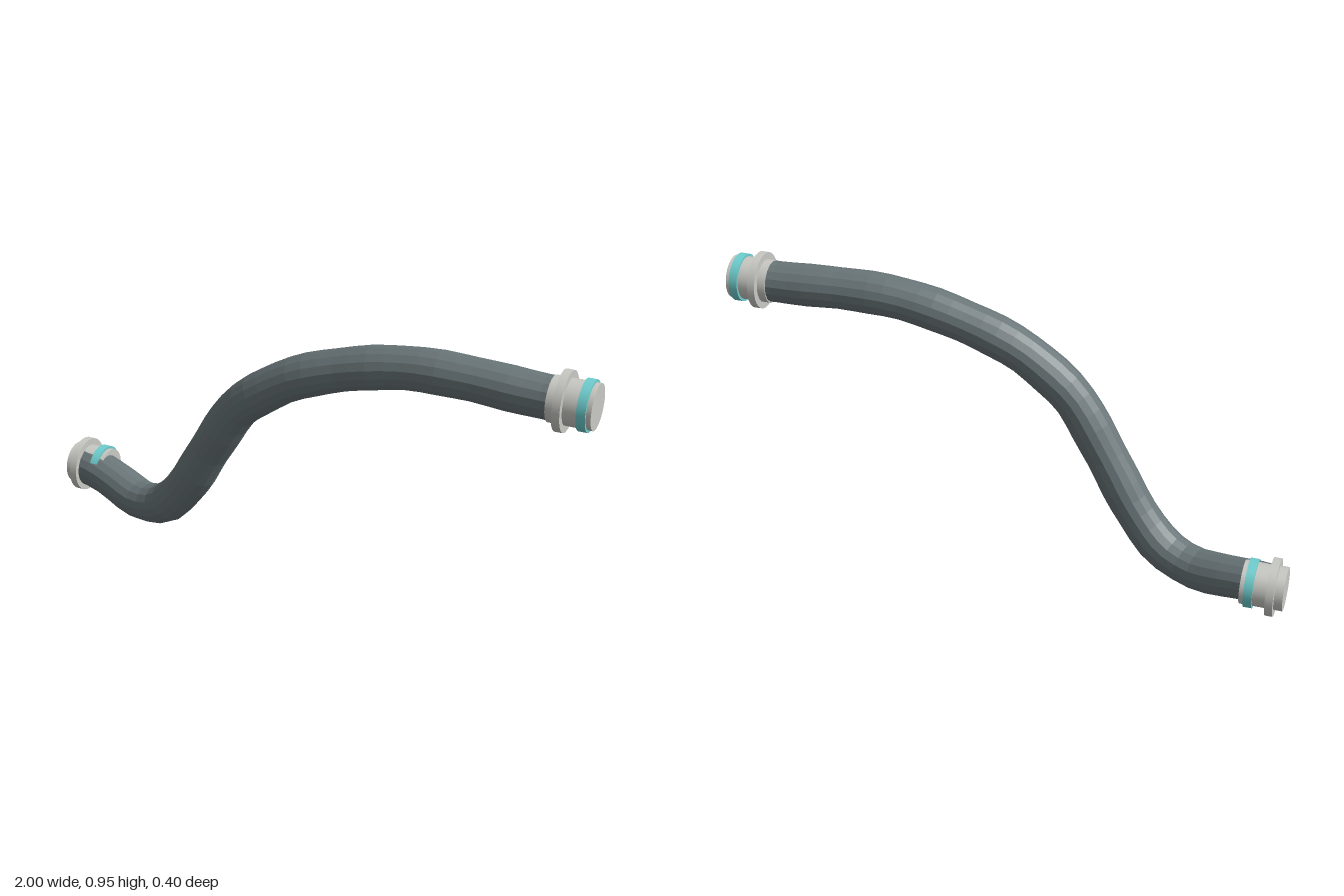
import * as THREE from 'three';

const hoseMat = new THREE.MeshStandardMaterial({ color: 0x6a7679, flatShading: true });
hoseMat.name = 'hose grey';
const collarMat = new THREE.MeshStandardMaterial({ color: 0xc9c9c4 });
collarMat.name = 'collar light grey';
const bandMat = new THREE.MeshStandardMaterial({ color: 0x70cfd0 });
bandMat.name = 'band cyan';

// Disc or sleeve along x, from x0 to x1
function disc(name, x0, x1, radius, material) {
  const geo = new THREE.CylinderGeometry(radius, radius, x1 - x0, 40);
  geo.rotateZ(-Math.PI / 2);
  geo.translate((x0 + x1) / 2, 0, 0);
  const mesh = new THREE.Mesh(geo, material);
  mesh.name = name;
  return mesh;
}

// End fitting: sleeve, wide flange and coloured band
function makeFitting(name, x, y, z) {
  const g = new THREE.Group();
  g.name = name;
  g.add(
    disc('sleeve', 0, 0.143, 0.0735, collarMat),
    disc('flange', 0.028, 0.054, 0.097, collarMat),
    disc('band', 0.099, 0.128, 0.082, bandMat)
  );
  g.position.set(x, y, z);
  return g;
}

// Bent hose with a slight ripple along its length
function makeHose() {
  const path = new THREE.CatmullRomCurve3([
    [-0.955, 0.12, -0.102], [-0.88, 0.114, -0.083], [-0.79, 0.095, -0.058],
    [-0.68, 0.076, -0.02], [-0.56, 0.11, 0.018], [-0.45, 0.225, 0.048],
    [-0.335, 0.41, 0.073], [-0.21, 0.6, 0.093], [-0.1, 0.69, 0.102],
    [0, 0.752, 0.105], [0.2, 0.825, 0.105], [0.4, 0.866, 0.105],
    [0.58, 0.871, 0.105], [0.78, 0.861, 0.105], [0.95, 0.857, 0.105],
  ].map((p) => new THREE.Vector3(...p)));
  const rings = 40, sides = 16;
  const geo = new THREE.TubeGeometry(path, rings, 0.0715, sides, false);
  const pos = geo.attributes.position;
  const v = new THREE.Vector3();
  for (let i = 0; i <= rings; i++) {
    const centre = path.getPointAt(i / rings);
    const scale = 1 + 0.018 * Math.cos(i * Math.PI / 2);
    for (let j = 0; j <= sides; j++) {
      const k = i * (sides + 1) + j;
      v.fromBufferAttribute(pos, k).sub(centre).multiplyScalar(scale).add(centre);
      pos.setXYZ(k, v.x, v.y, v.z);
    }
  }
  geo.computeVertexNormals();
  const mesh = new THREE.Mesh(geo, hoseMat);
  mesh.name = 'hose';
  return mesh;
}

export function createModel() {
  const model = new THREE.Group();
  model.name = 'hoseWithFittings';
  model.add(
    makeHose(),
    makeFitting('lowerFitting', -1, 0.12, -0.105),
    makeFitting('upperFitting', 0.857, 0.857, 0.105)
  );
  return model;
}
